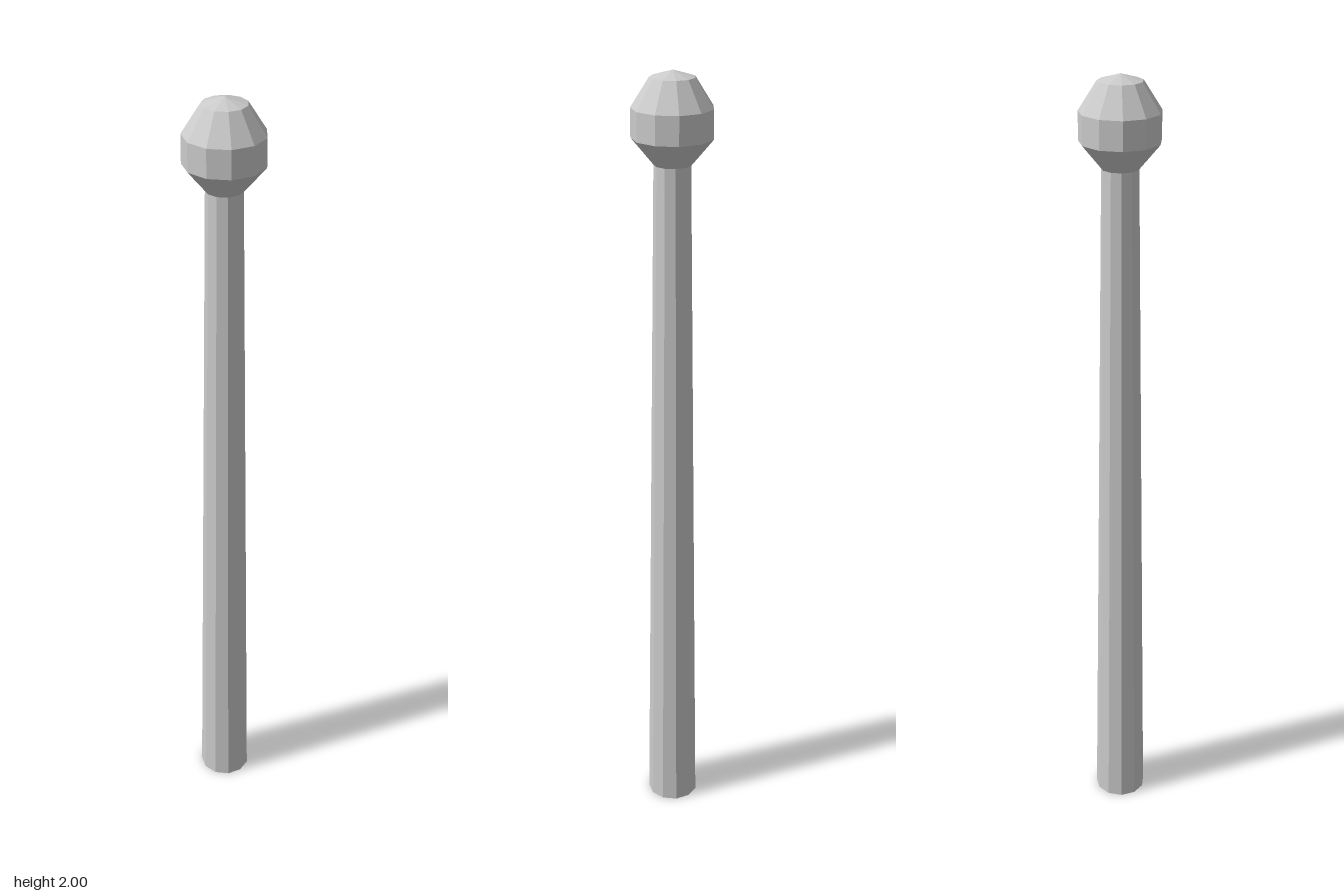
import * as THREE from 'three';

const SIDES = 11;

// Faceted body of revolution with one corner pointing along +x
function turned(name, profile) {
  const points = profile.map(([r, y]) => new THREE.Vector2(r, y));
  const geometry = new THREE.LatheGeometry(points, SIDES, Math.PI / 2);
  const material = new THREE.MeshStandardMaterial({ color: 0xcccccc, flatShading: true });
  const mesh = new THREE.Mesh(geometry, material);
  mesh.name = name;
  return mesh;
}

export function createModel() {
  const model = new THREE.Group();
  model.name = 'post';

  // Tapered shaft, closed at the foot
  const shaft = turned('shaft', [[0, 0], [0.067, 0], [0.045, 1.783]]);

  // Faceted knob: flared underside, straight band, sloped shoulder, shallow cap
  const knob = turned('knob', [
    [0.045, 1.783], [0.098, 1.846], [0.098, 1.915], [0.054, 1.984], [0, 2],
  ]);

  model.add(shaft, knob);
  // An odd number of sides is slightly off centre in x
  model.position.x = -0.002;
  return model;
}
